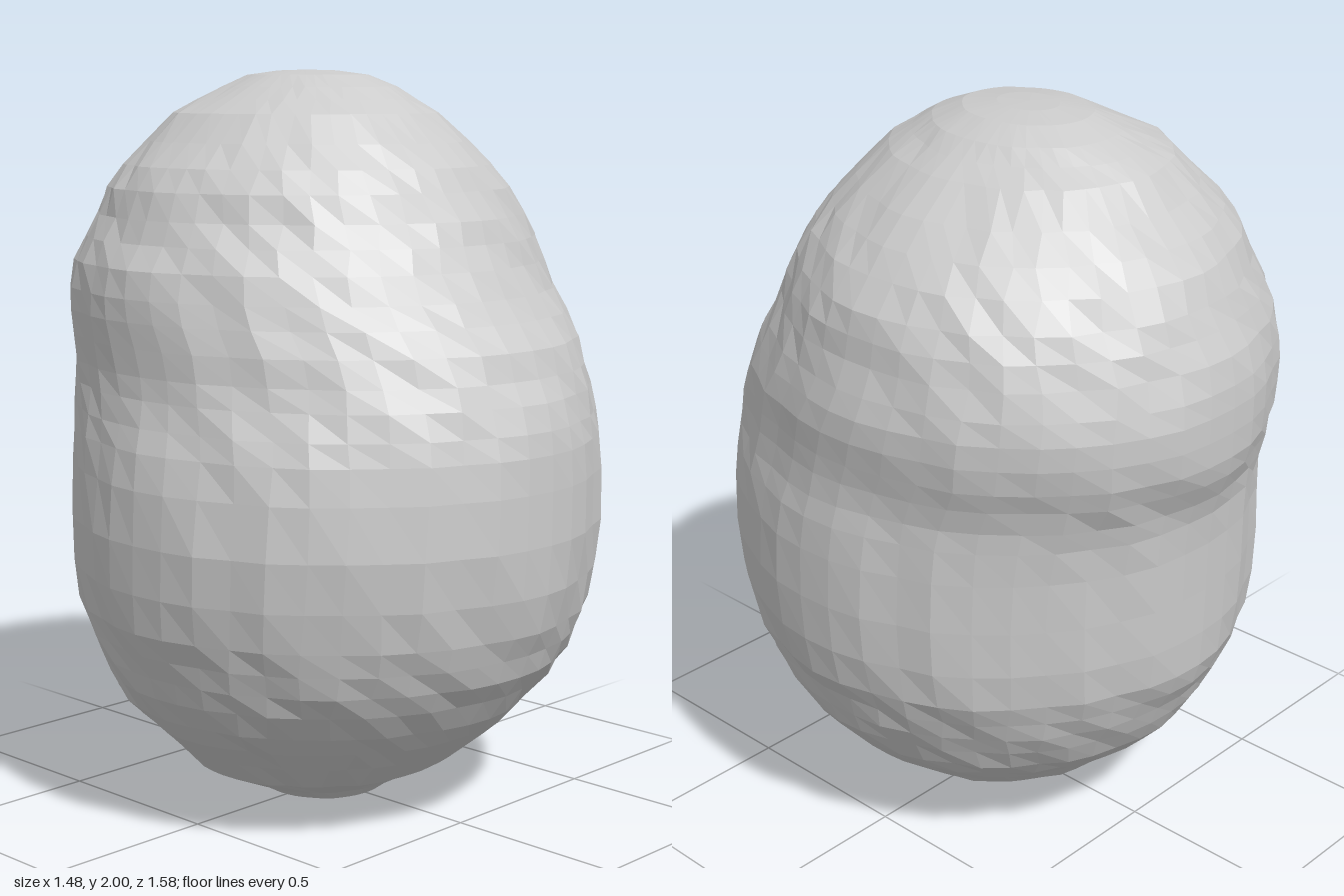
import * as THREE from 'three';

// Outline of the boulder by height: [y, xMin, xMax, zMin, zMax]
const OUTLINE = [
  [0, -0.03, -0.03, 0.03, 0.03], [0.012, -0.17, 0.12, -0.12, 0.16],
  [0.05, -0.26, 0.22, -0.22, 0.23], [0.1, -0.38, 0.34, -0.33, 0.34],
  [0.2, -0.5, 0.48, -0.45, 0.48], [0.3, -0.6, 0.575, -0.56, 0.58],
  [0.4, -0.665, 0.65, -0.62, 0.67], [0.5, -0.7, 0.685, -0.67, 0.725],
  [0.6, -0.73, 0.725, -0.705, 0.765], [0.8, -0.745, 0.74, -0.715, 0.793],
  [1.0, -0.72, 0.73, -0.725, 0.79], [1.1, -0.695, 0.715, -0.745, 0.775],
  [1.2, -0.667, 0.71, -0.78, 0.745], [1.3, -0.66, 0.715, -0.79, 0.7],
  [1.4, -0.655, 0.705, -0.785, 0.63], [1.5, -0.63, 0.675, -0.76, 0.57],
  [1.6, -0.57, 0.65, -0.72, 0.52], [1.7, -0.53, 0.58, -0.66, 0.46],
  [1.8, -0.44, 0.48, -0.57, 0.38], [1.9, -0.32, 0.34, -0.46, 0.27],
  [1.95, -0.21, 0.26, -0.37, 0.18], [1.99, -0.1, 0.14, -0.24, 0.05],
  [2, 0.02, 0.02, -0.1, -0.1],
];
const RINGS = 34, SIDES = 48;

// Gentle terraces that give the surface its stepped facets
const terrace = (v, cell) => v - 0.006 * Math.sin((2 * Math.PI * v) / cell);

function boulderGeometry() {
  const rims = [1, 2, 3, 4].map(
    (k) => new THREE.SplineCurve(OUTLINE.map((row) => new THREE.Vector2(row[k], row[0])))
  );
  const positions = [], indices = [];
  for (let i = 0; i <= RINGS; i++) {
    const [x0, x1, z0, z1] = rims.map((c) => c.getPoint(i / RINGS));
    const y = x0.y;
    const cx = (x0.x + x1.x) / 2, cz = (z0.x + z1.x) / 2;
    const rx = (x1.x - x0.x) / 2, rz = (z1.x - z0.x) / 2;
    const shoulder = Math.exp(-(((y - 1.35) / 0.25) ** 2));
    const fade = Math.min(1, rx / 0.4);
    for (let j = 0; j < SIDES; j++) {
      const a = (j / SIDES) * Math.PI * 2;
      const diagonal = Math.sin(2 * a);
      // Slimmer on one diagonal, with a swelling at the rear shoulder
      let r = 1 - 0.03 * Math.max(0, diagonal);
      if (Math.cos(a) > 0 && Math.sin(a) < 0) r -= 0.03 * shoulder * diagonal;
      const x = cx + rx * r * Math.cos(a), z = cz + rz * r * Math.sin(a);
      positions.push(
        x + (terrace(x, 0.0825) - x) * fade,
        THREE.MathUtils.clamp(y + (terrace(y, 0.1) - y) * (1 - fade * 0.3), 0, 2),
        z + (terrace(z, 0.088) - z) * fade
      );
    }
  }
  for (let i = 0; i < RINGS; i++) {
    for (let j = 0; j < SIDES; j++) {
      const k = (j + 1) % SIDES;
      const a = i * SIDES + j, b = i * SIDES + k;
      const c = a + SIDES, d = b + SIDES;
      if (i > 0) indices.push(a, d, b);
      if (i < RINGS - 1) indices.push(a, c, d);
      else indices.push(a, c, b);
      if (i === 0) indices.splice(-3, 3, a, c, d);
    }
  }
  const geometry = new THREE.BufferGeometry();
  geometry.setAttribute('position', new THREE.Float32BufferAttribute(positions, 3));
  geometry.setIndex(indices);
  geometry.computeVertexNormals();
  return geometry;
}

export function createModel() {
  const group = new THREE.Group();
  group.name = 'boulder';
  const stone = new THREE.Mesh(
    boulderGeometry(),
    new THREE.MeshStandardMaterial({ color: 0xcccccc, flatShading: true })
  );
  stone.name = 'stone';
  group.add(stone);
  return group;
}
